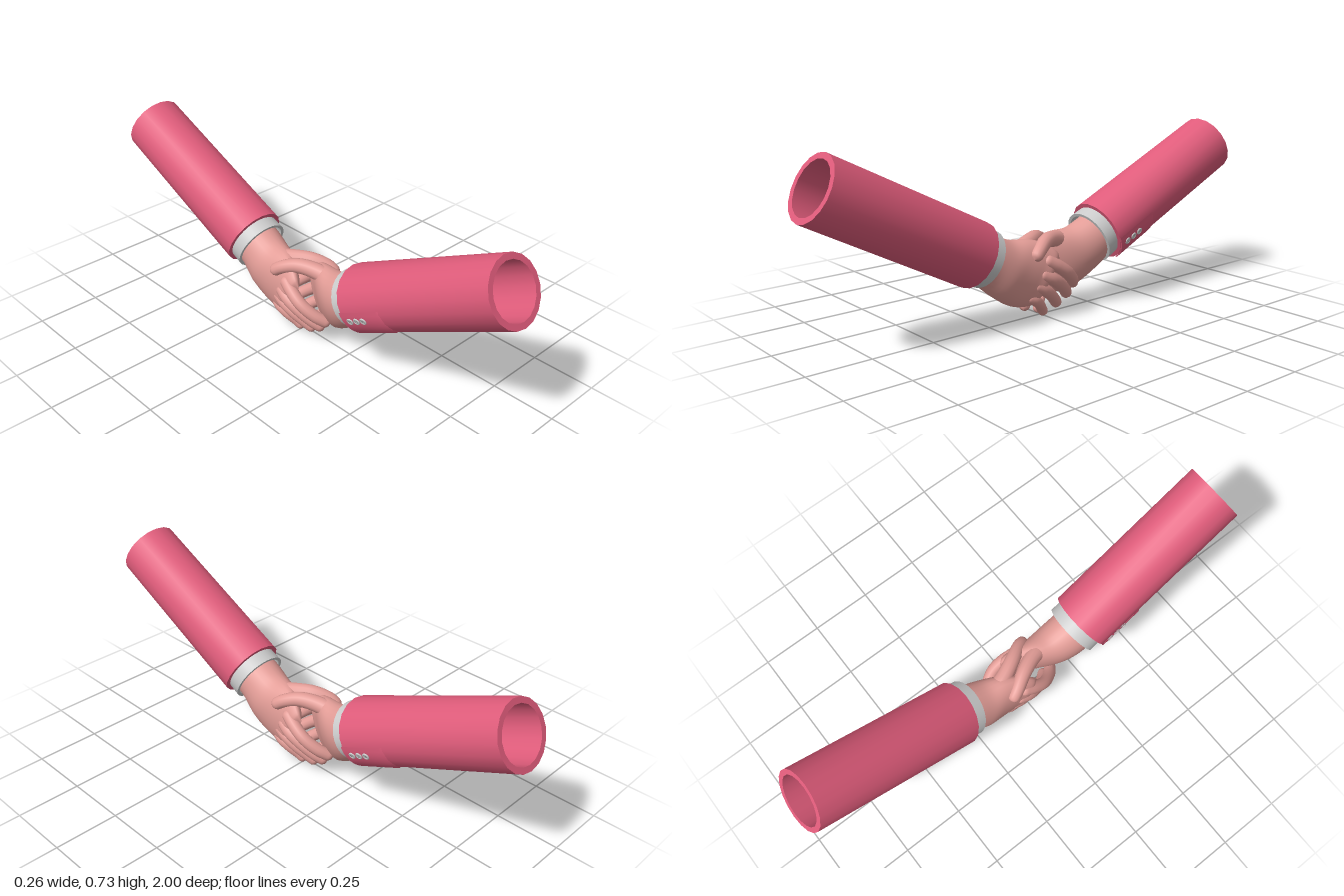
import * as THREE from 'three';
import { toCreasedNormals } from 'three/addons/utils/BufferGeometryUtils.js';

const mat = (color) => new THREE.MeshStandardMaterial({ color, side: THREE.DoubleSide });
const RED = mat(0xe05c7b), SKIN = mat(0xe39d97), GREY = mat(0xcccccc), DARK = mat(0x777777);
const V = (x, y, z) => new THREE.Vector3(x, y, z);

function add(parent, name, geometry, material) {
  const mesh = new THREE.Mesh(geometry, material);
  mesh.name = name;
  parent.add(mesh);
  return mesh;
}

// Closed skin over a list of rings of equal size
function skin(rings) {
  const n = rings[0].length, pos = [], idx = [];
  rings.forEach((ring, i) => ring.forEach((p, j) => {
    pos.push(p.x, p.y, p.z);
    if (i === rings.length - 1) return;
    const a = i * n + j, b = i * n + (j + 1) % n;
    idx.push(a, b, a + n, b, b + n, a + n);
  }));
  const g = new THREE.BufferGeometry();
  g.setAttribute('position', new THREE.Float32BufferAttribute(pos, 3));
  g.setIndex(idx);
  g.computeVertexNormals();
  return g;
}

// Round-ended tapering tube along a curve
function digit(points, r0, r1) {
  const curve = new THREE.CatmullRomCurve3(points), n = 48, sides = 14;
  const frames = curve.computeFrenetFrames(n), len = curve.getLength();
  const rings = [];
  for (let i = 0; i <= n; i++) {
    const t = i / n, r = THREE.MathUtils.lerp(r0, r1, t);
    const d = Math.min(1, Math.min(t, 1 - t) * len / r);
    const rr = Math.max(1e-4, r * Math.sqrt(1 - (1 - d) ** 2));
    const c = curve.getPointAt(t);
    rings.push(Array.from({ length: sides }, (_, j) => {
      const a = j / sides * Math.PI * 2;
      return c.clone().addScaledVector(frames.normals[i], Math.cos(a) * rr)
        .addScaledVector(frames.binormals[i], Math.sin(a) * rr);
    }));
  }
  return skin(rings);
}

// Palm: oval sections between an upper (thumb side) and a lower (little finger side) edge
function palm() {
  const upper = new THREE.CatmullRomCurve3([V(0, .39, .27), V(0, .365, .215), V(.005, .34, .15),
    V(.02, .335, .08), V(.045, .315, .02), V(.066, .28, -.025), V(.068, .25, -.04)]);
  const lower = new THREE.CatmullRomCurve3([V(0, .22, .36), V(0, .185, .3), V(.015, .13, .235),
    V(.025, .093, .175), V(.035, .08, .125), V(.045, .085, .075), V(.05, .11, .04)]);
  const thick = new THREE.CatmullRomCurve3([.088, .09, .085, .068, .05, .036, .003]
    .map((t, i) => V(t, i, 0)));
  const rings = [], n = 30, sides = 28;
  for (let i = 0; i <= n; i++) {
    const u = upper.getPoint(i / n), l = lower.getPoint(i / n), t = thick.getPoint(i / n).x;
    const c = u.clone().lerp(l, .5), half = u.clone().sub(c);
    rings.push(Array.from({ length: sides }, (_, j) => {
      const a = j / sides * Math.PI * 2;
      return c.clone().addScaledVector(half, Math.cos(a)).add(V(Math.sin(a) * t, 0, 0));
    }));
  }
  // close the wrist
  rings.unshift(rings[0].map(() => V(0, .305, .315)));
  return skin(rings);
}

function hand() {
  const g = new THREE.Group();
  g.name = 'hand';
  add(g, 'palm', palm(), SKIN);
  // start z, y, tip z, y, radius
  const fingers = [
    [.045, .262, -.155, .115, .026],
    [.07, .212, -.125, .078, .026],
    [.095, .17, -.075, .047, .025],
    [.115, .125, -.008, .024, .022],
  ];
  fingers.forEach(([z0, y0, z1, y1, r], i) => {
    const pts = [0, .3, .55, .8, 1].map((t) => {
      const y = THREE.MathUtils.lerp(y0, y1, t) + Math.sin(t * Math.PI) * .012;
      const wrap = .108 * Math.sqrt(Math.min(1, y / .19)) - r;
      const x = t === 0 ? wrap - .015 : t === 1 ? .012 : t === .8 ? wrap * .8 : wrap;
      return V(x, y, THREE.MathUtils.lerp(z0, z1, t));
    });
    add(g, 'finger' + (i + 1), digit(pts, r, r * .9), SKIN);
  });
  add(g, 'thumb', digit([V(.02, .285, .15), V(.0, .308, .075), V(-.035, .317, .0),
    V(-.07, .298, -.06), V(-.084, .268, -.098)], .036, .024), SKIN);
  return g;
}

// Hollow ring-walled tube along y
function pipe(y0, y1, outer0, outer1, wall, sides) {
  const profile = [[outer0, y0], [outer1, y1], [outer1 - wall, y1], [outer0 - wall, y0], [outer0, y0]];
  return toCreasedNormals(new THREE.LatheGeometry(
    profile.map(([r, y]) => new THREE.Vector2(r, y)), sides), .6);
}

function sleeve(tilt, near) {
  const g = new THREE.Group();
  g.name = 'sleeve';
  g.position.copy(near);
  g.rotation.x = Math.PI / 2 - tilt;
  add(g, 'sleeveTube', pipe(0, .709, .127, .123, .022, 18), RED);
  add(g, 'shirtCuff', pipe(-.05, .08, .111, .108, .012, 32), GREY);

  // overlapping flap beside the cuff slit
  const flap = toCreasedNormals(new THREE.LatheGeometry(
    [[.127, 0], [.132, 0], [.13, .19], [.125, .2]].map(([r, y]) => new THREE.Vector2(r, y)),
    8, -1.5, 1), .6);
  add(g, 'cuffFlap', flap, RED);

  // three buttons on the flap
  for (let i = 0; i < 3; i++) {
    const b = new THREE.Group();
    b.name = 'button' + (i + 1);
    b.position.set(-.123, .037 + i * .035, .046);
    b.rotation.y = -Math.PI / 2 + .36;
    add(b, 'buttonRim', new THREE.TorusGeometry(.011, .0035, 8, 20), GREY);
    add(b, 'buttonDisc', new THREE.CylinderGeometry(.011, .011, .004, 20), GREY).rotation.x = Math.PI / 2;
    for (let k = 0; k < 4; k++) {
      const hole = add(b, 'buttonHole', new THREE.CylinderGeometry(.0018, .0018, .005, 8), DARK);
      hole.rotation.x = Math.PI / 2;
      const a = Math.PI / 4 + k * Math.PI / 2;
      hole.position.set(Math.cos(a) * .005, Math.sin(a) * .005, 0);
    }
    g.add(b);
  }
  return g;
}

export function createModel() {
  const model = new THREE.Group();
  model.name = 'handshake';
  // two right arms, facing each other
  const arms = [
    ['frontArm', 0, .476, V(0, .31, .313)],
    ['backArm', Math.PI, .426, V(0, .305, .3)],
  ];
  for (const [name, turn, tilt, near] of arms) {
    const arm = new THREE.Group();
    arm.name = name;
    arm.add(hand(), sleeve(tilt, near));
    arm.rotation.y = turn;
    model.add(arm);
  }
  return model;
}
